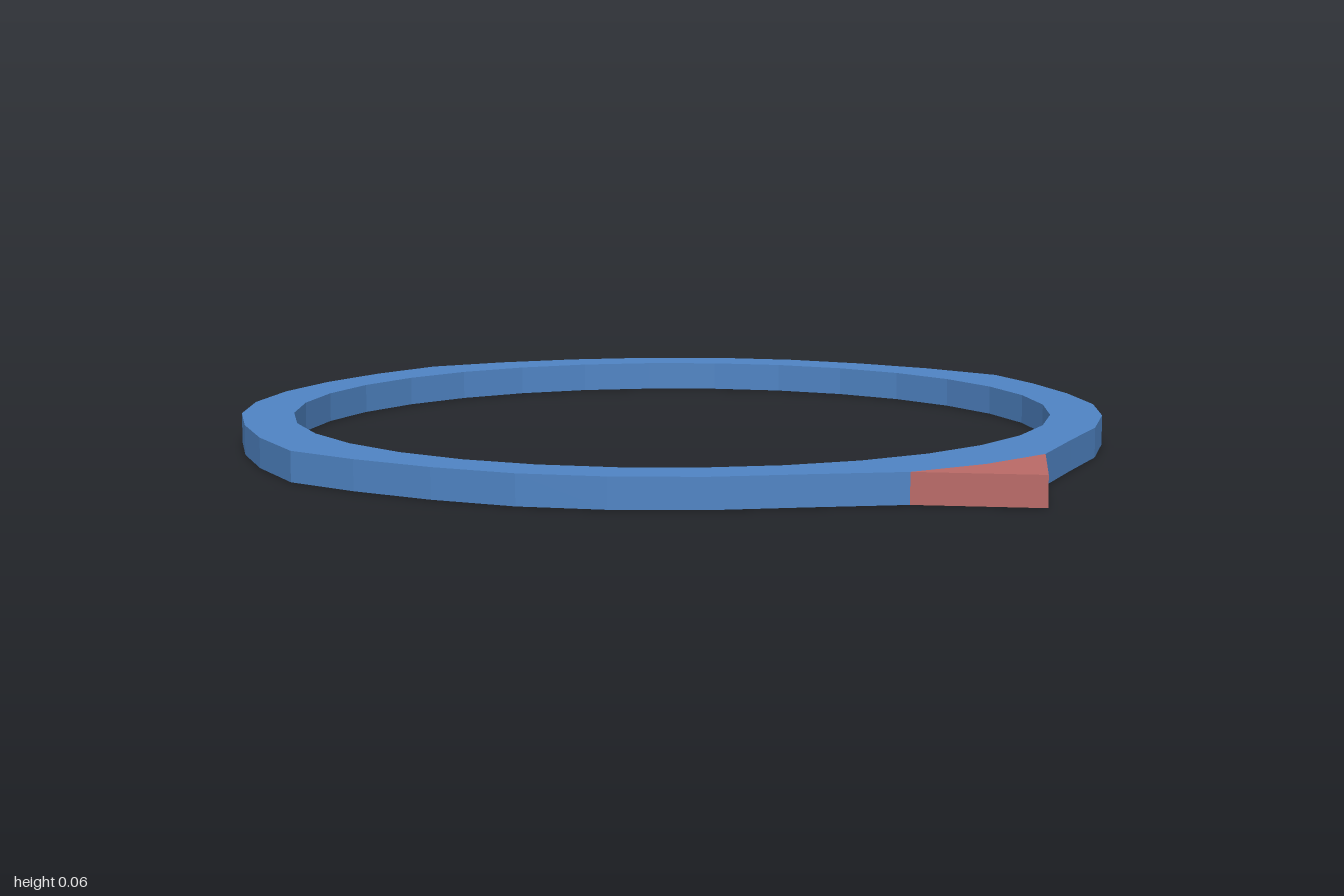
import * as THREE from 'three';

const HEIGHT = 0.06;
const CENTER_Z = -0.095;
const INNER_RADIUS = 0.778;

// Right half of the outer outline as [x, z], from back to front
const OUTLINE = [
  [0, -1], [0.17, -0.968], [0.335, -0.912], [0.49, -0.83], [0.627, -0.72], [0.735, -0.587],
  [0.815, -0.433], [0.876, -0.267], [0.915, -0.083], [0.876, 0.077], [0.815, 0.243],
  [0.735, 0.397], [0.627, 0.527], [0.49, 0.64], [0.332, 0.728], [0.17, 0.822], [0, 0.84],
];

// Plan outline [x, z] to shape points (shape y is -z)
const toPoints = (list) => list.map(([x, z]) => new THREE.Vector2(x, -z));

// Raise a plan shape to the full height, standing on y = 0
function raise(shape) {
  const geometry = new THREE.ExtrudeGeometry(shape, { depth: HEIGHT, bevelEnabled: false });
  return geometry.rotateX(-Math.PI / 2);
}

export function createModel() {
  const blue = new THREE.MeshStandardMaterial({ name: 'blue', color: 0x4f84c4 });
  const red = new THREE.MeshStandardMaterial({ name: 'red', color: 0xba6a67 });
  const group = new THREE.Group();
  group.name = 'pointerRing';

  // Faceted ring with a 32-sided opening
  const mirrored = OUTLINE.slice(1, -1).reverse().map(([x, z]) => [-x, z]);
  const ringShape = new THREE.Shape(toPoints([...OUTLINE, ...mirrored]));
  const opening = [];
  for (let i = 0; i < 32; i++) {
    const a = (i / 32) * Math.PI * 2;
    opening.push([INNER_RADIUS * Math.sin(a), CENTER_Z + INNER_RADIUS * Math.cos(a)]);
  }
  ringShape.holes.push(new THREE.Path(toPoints(opening)));
  const ring = new THREE.Mesh(raise(ringShape), blue);
  ring.name = 'ring';
  group.add(ring);

  // Pointed front tip: red top and sides, blue underside
  const tipShape = new THREE.Shape(toPoints([[0, 0.84], [-0.17, 0.822], [0, 1], [0.17, 0.822]]));
  const tipGeometry = raise(tipShape);
  tipGeometry.clearGroups();
  tipGeometry.addGroup(0, 6, 0);
  tipGeometry.addGroup(6, tipGeometry.attributes.position.count - 6, 1);
  const tip = new THREE.Mesh(tipGeometry, [blue, red]);
  tip.name = 'pointerTip';
  group.add(tip);

  return group;
}
